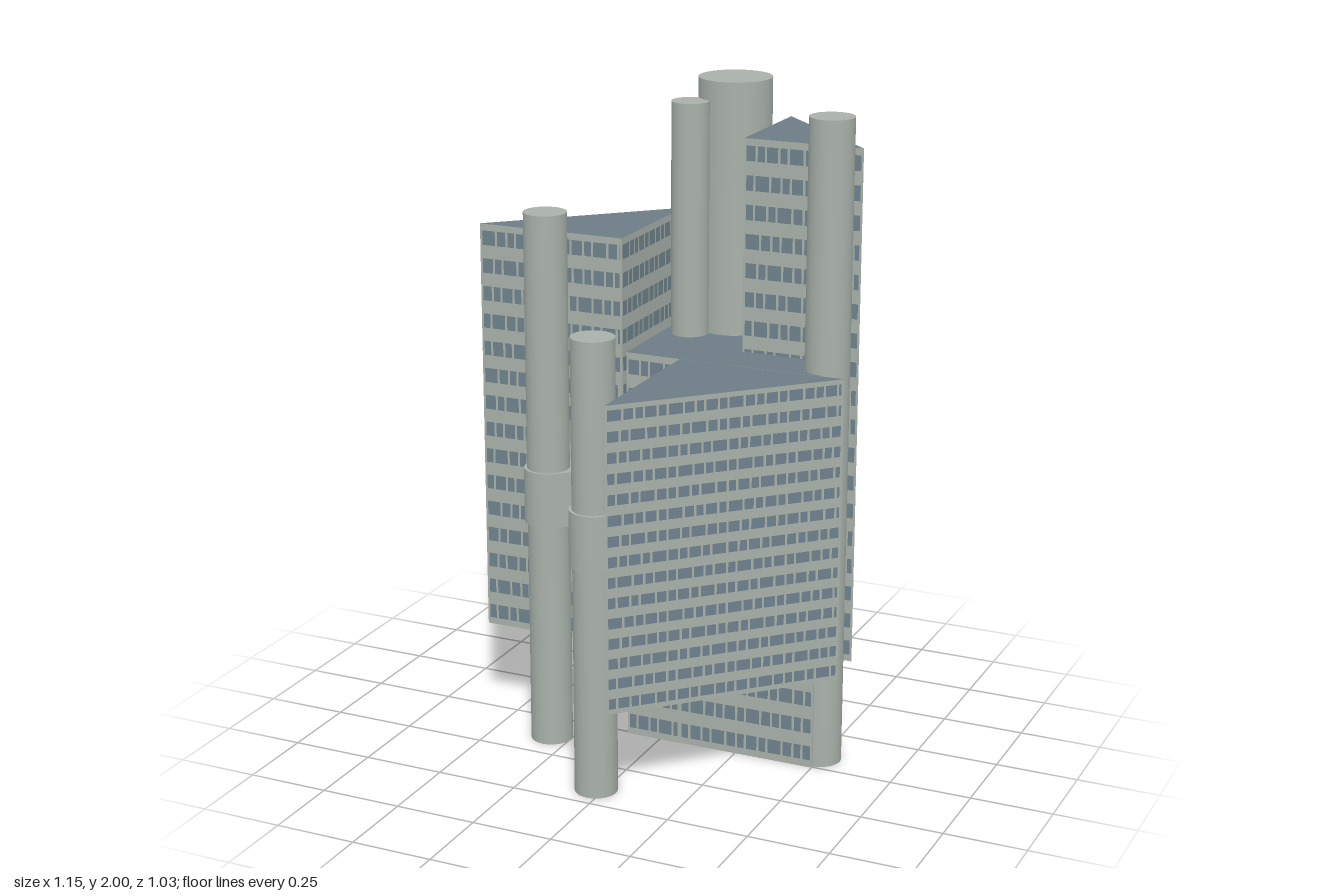
import * as THREE from 'three';

const mat = (name, color) => {
  const m = new THREE.MeshStandardMaterial({ color, side: THREE.DoubleSide });
  m.name = name;
  return m;
};

export function createModel() {
  const model = new THREE.Group();
  const concrete = mat('concrete', 0xa9b1aa);
  const glass = mat('blueGlass', 0x6f828d);
  const slate = mat('slateRoof', 0x6c7c85);
  const soffit = mat('soffit', 0x7b7e79);

  const add = (parent, name, geometry, material) => {
    const mesh = new THREE.Mesh(geometry, material);
    mesh.name = name;
    parent.add(mesh);
    return mesh;
  };

  // Upright walls round a plan outline [x, z], tiled into floors of uneven windows
  const facade = (plan, y0, y1, floors) => {
    const solid = [], panes = [];
    const widths = [0.022, 0.034, 0.022, 0.042, 0.028];
    const gap = 0.007;
    const floorHeight = (y1 - y0) / floors;
    plan.forEach((a, i) => {
      const b = plan[(i + 1) % plan.length];
      const length = Math.hypot(b[0] - a[0], b[1] - a[1]);
      const quad = (list, s0, s1, low, high) => {
        const at = (s, y) => [a[0] + (b[0] - a[0]) * s / length, y, a[1] + (b[1] - a[1]) * s / length];
        const p = at(s0, low), q = at(s1, low), r = at(s1, high), t = at(s0, high);
        list.push(...p, ...q, ...r, ...p, ...r, ...t);
      };
      for (let f = 0; f < floors; f++) {
        const base = y0 + f * floorHeight;
        const sill = base + floorHeight * 0.24, head = base + floorHeight * 0.76;
        quad(solid, 0, length, base, sill);
        quad(solid, 0, length, head, base + floorHeight);
        let s = 0;
        for (let n = f * 2; s < length; n++) {
          const start = Math.min(s + gap, length);
          const end = Math.max(start, Math.min(start + widths[n % widths.length], length - gap));
          quad(solid, s, start, sill, head);
          if (end > start) quad(panes, start, end, sill, head);
          s = end;
          if (length - s <= gap + 1e-4) {
            quad(solid, s, length, sill, head);
            break;
          }
        }
      }
    });
    const g = new THREE.BufferGeometry();
    g.setAttribute('position', new THREE.Float32BufferAttribute(solid.concat(panes), 3));
    g.addGroup(0, solid.length / 3, 0);
    g.addGroup(solid.length / 3, panes.length / 3, 1);
    g.computeVertexNormals();
    return g;
  };

  // Flat plate over a plan outline, facing up or down
  const plate = (plan, y, up) => {
    const sign = up ? -1 : 1;
    const shape = new THREE.Shape(plan.map(([x, z]) => new THREE.Vector2(x, sign * z)));
    return new THREE.ShapeGeometry(shape).rotateX(sign * Math.PI / 2).translate(0, y, 0);
  };

  const block = (name, plan, y0, y1, floors, closed) => {
    const group = new THREE.Group();
    group.name = name;
    add(group, name + 'Facade', facade(plan, y0, y1, floors), [concrete, glass]);
    add(group, name + 'Roof', plate(plan, y1, true), slate);
    if (closed) add(group, name + 'Soffit', plate(plan, y0, false), soffit);
    model.add(group);
  };

  // Central core standing on the ground, open underneath
  block('core', [
    [-0.108, 0.01], [0.067, 0.01], [0.5, 0], [0.5, -0.138],
    [0.198, -0.138], [0.198, -0.398], [-0.108, -0.398],
  ], 0, 1.23, 14, false);

  // Three raised triangular wings
  block('rightWing', [[-0.575, 0.04], [-0.11, 0.035], [-0.11, -0.4]], 0.3, 1.58, 15, true);
  block('frontWing', [[0.065, 0.515], [0.575, 0], [0.065, 0.011]], 0.3, 1.23, 15, true);
  block('backWing', [[0.2, -0.14], [0.565, -0.145], [0.2, -0.5]], 0.3, 1.87, 18, true);

  // Round service shafts, open at the foot: name, x, z, radius, height
  [
    ['rightShaft', -0.312, 0.127, 0.064, 1.66],
    ['frontShaft', -0.024, 0.405, 0.064, 1.39],
    ['leftShaft', 0.496, -0.071, 0.066, 1.97],
    ['backShaft', 0.067, -0.386, 0.111, 2],
    ['innerShaft', -0.026, -0.265, 0.057, 1.94],
  ].forEach(([name, x, z, r, h]) => {
    const shaft = new THREE.Group();
    shaft.name = name;
    shaft.position.set(x, 0, z);
    add(shaft, name + 'Wall', new THREE.CylinderGeometry(r, r, h, 40, 1, true).translate(0, h / 2, 0), concrete);
    add(shaft, name + 'Cap', new THREE.CircleGeometry(r, 40).rotateX(-Math.PI / 2).translate(0, h, 0), concrete);
    model.add(shaft);
  });

  // Collars with bridges running diagonally back into the wings
  const bridge = (name, x, z, r) => {
    const shape = new THREE.Shape();
    shape.absarc(0, 0, r, Math.PI / 2, Math.PI * 1.5, false);
    shape.lineTo(0.3, -r);
    shape.lineTo(0.3, r);
    shape.closePath();
    const g = new THREE.ExtrudeGeometry(shape, { depth: 0.17, bevelEnabled: false, curveSegments: 24 });
    g.rotateX(-Math.PI / 2).rotateY(0.75);
    add(model, name, g, concrete).position.set(x, 0.71, z);
  };
  bridge('rightBridge', -0.312, 0.127, 0.073);
  bridge('frontBridge', -0.024, 0.405, 0.073);
  add(model, 'backCollar', new THREE.CylinderGeometry(0.123, 0.123, 0.17, 40), concrete)
    .position.set(0.073, 0.795, -0.395);

  return model;
}
